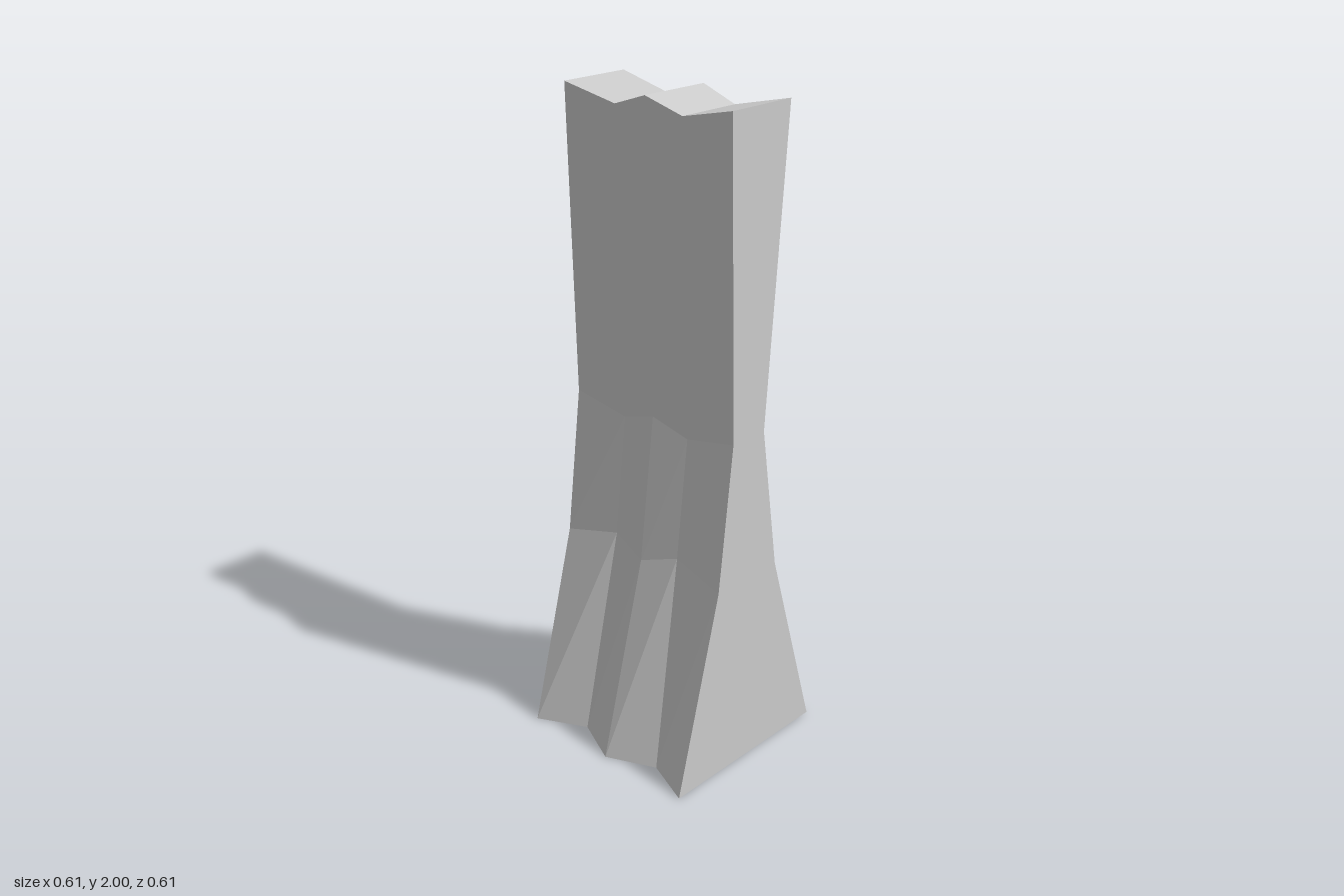
import * as THREE from 'three';

const HALF = 0.307;

// Cross-sections from foot to top: ridge columns and groove columns (left, right).
// Each column is [y, front z, back z]; grooveX is the grooves' distance from centre.
const levels = [
  { grooveX: 0.154, ridge: [0, 0.305, -0.307], grooves: [[0, 0.231, -0.234], [0, 0.24, -0.243]] },
  { grooveX: 0.124, ridge: [0.62, 0.138, -0.118], grooves: [[0.66, 0.114, -0.094], [0.66, 0.114, -0.094]] },
  { grooveX: 0.124, ridge: [1.07, 0.083, -0.05], grooves: [[1.03, 0.071, -0.038], [1.03, 0.071, -0.038]] },
  { grooveX: 0.124, ridge: [2, 0.108, -0.128], grooves: [[1.96, 0.096, -0.116], [1.96, 0.096, -0.116]] },
];

// Ring of ten points: along the front left to right, then back again behind
function makeRing({ grooveX, ridge, grooves }) {
  const columns = [
    [-HALF, ridge], [-grooveX, grooves[0]], [0, ridge], [grooveX, grooves[1]], [HALF, ridge],
  ];
  const front = columns.map(([x, [y, zFront]]) => [x, y, zFront]);
  const back = columns.map(([x, [y, , zBack]]) => [x, y, zBack]).reverse();
  return [...front, ...back];
}

export function createModel() {
  const rings = levels.map(makeRing);
  const positions = [];
  const quad = (a, b, c, d) => positions.push(...a, ...b, ...c, ...a, ...c, ...d);

  // Walls between neighbouring cross-sections
  for (let k = 0; k < rings.length - 1; k++) {
    const low = rings[k], high = rings[k + 1], n = low.length;
    for (let i = 0; i < n; i++) {
      const j = (i + 1) % n;
      quad(low[i], low[j], high[j], high[i]);
    }
  }

  // Folded top and flat underside, as strips from front to back
  const foot = rings[0], top = rings[rings.length - 1];
  for (let i = 0; i < 4; i++) {
    quad(top[i], top[i + 1], top[8 - i], top[9 - i]);
    quad(foot[9 - i], foot[8 - i], foot[i + 1], foot[i]);
  }

  const geometry = new THREE.BufferGeometry();
  geometry.setAttribute('position', new THREE.Float32BufferAttribute(positions, 3));
  geometry.computeVertexNormals();

  const pillar = new THREE.Mesh(
    geometry,
    new THREE.MeshStandardMaterial({ color: 0xcccccc, flatShading: true })
  );
  pillar.name = 'flutedPillar';

  const model = new THREE.Group();
  model.name = 'pillar';
  model.add(pillar);
  return model;
}
